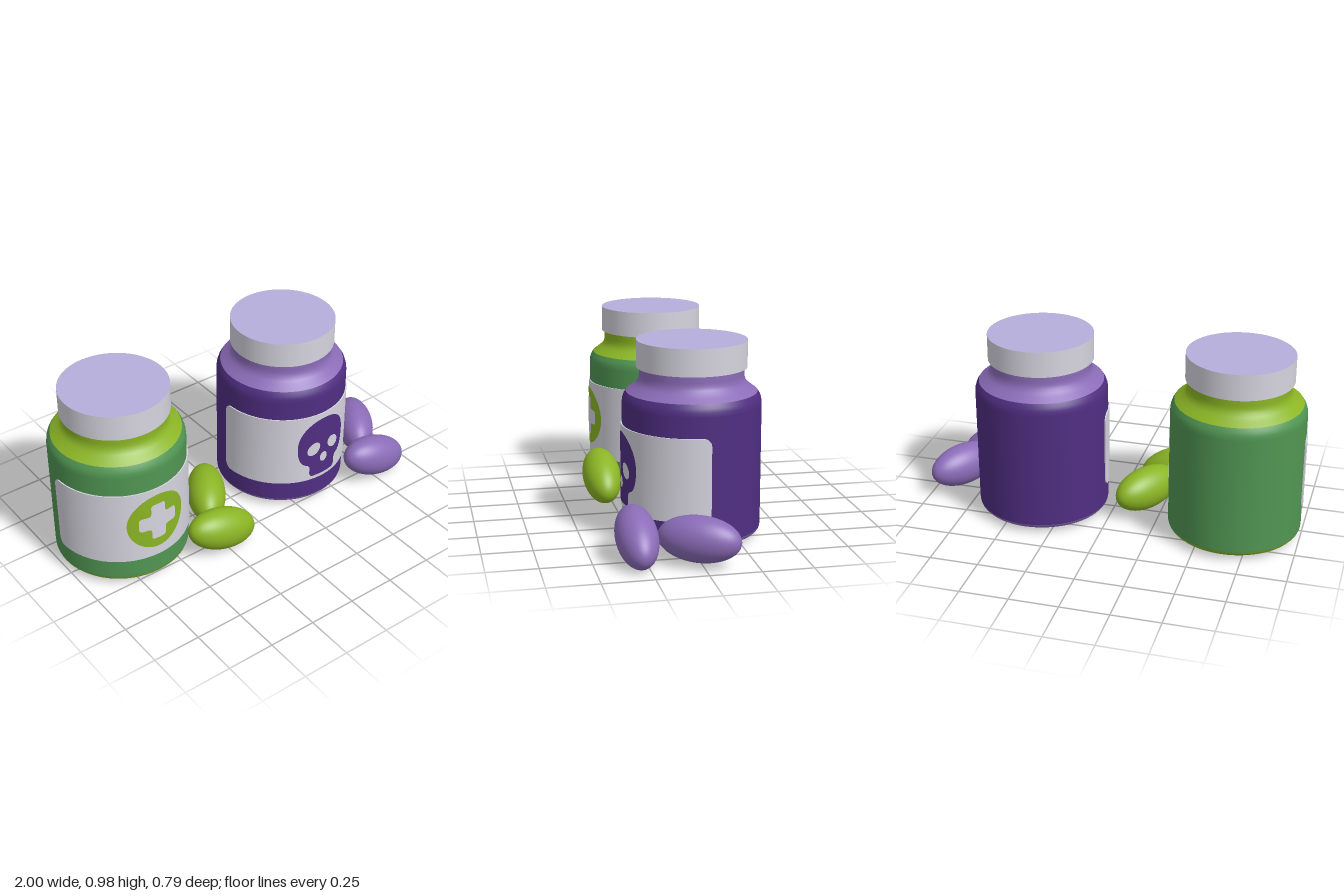
import * as THREE from 'three';

const mat = (name, color, side = THREE.FrontSide) => {
  const m = new THREE.MeshStandardMaterial({ color, side });
  m.name = name;
  return m;
};
const v2 = (pts) => pts.map(([x, y]) => new THREE.Vector2(x, y));

function add(parent, name, geometry, material) {
  const mesh = new THREE.Mesh(geometry, material);
  mesh.name = name;
  parent.add(mesh);
  return mesh;
}

// Fills a closed outline with concentric rings and bends it onto a cylinder
function curvedPlate(shape, cx, cy, radius, count = 96, rings = 8) {
  const outline = shape.getSpacedPoints(count).slice(0, count);
  if (THREE.ShapeUtils.isClockWise(outline)) outline.reverse();
  const n = outline.length, pos = [], nor = [], idx = [];
  for (let r = 0; r <= rings; r++) {
    for (const p of outline) {
      const x = cx + p.x * r / rings, y = cy + p.y * r / rings;
      const z = Math.sqrt(radius * radius - x * x);
      pos.push(x, y, z);
      nor.push(x / radius, 0, z / radius);
    }
  }
  for (let r = 0; r < rings; r++) {
    for (let i = 0; i < n; i++) {
      const j = (i + 1) % n, a = r * n + i, b = r * n + j, c = a + n, d = b + n;
      if (r > 0) idx.push(a, d, b);
      idx.push(a, c, d);
    }
  }
  const g = new THREE.BufferGeometry();
  g.setAttribute('position', new THREE.Float32BufferAttribute(pos, 3));
  g.setAttribute('normal', new THREE.Float32BufferAttribute(nor, 3));
  g.setIndex(idx);
  return g;
}

// Label wrapped around the front half, with rounded corners
function labelGeometry() {
  const half = 1.63, R = 0.348, corner = 0.04, halfHeight = 0.205;
  const g = new THREE.BoxGeometry(2, 2, 2, 64, 1, 1);
  const p = g.attributes.position;
  for (let i = 0; i < p.count; i++) {
    const a = half * Math.sin(p.getX(i) * Math.PI / 2);
    const inset = Math.max(0, corner - (half - Math.abs(a)) * R);
    const h = halfHeight - corner + Math.sqrt(Math.max(0, corner * corner - inset * inset));
    const r = p.getZ(i) > 0 ? R : 0.339;
    p.setXYZ(i, r * Math.sin(a), 0.37 + h * p.getY(i), r * Math.cos(a));
  }
  g.computeVertexNormals();
  return g;
}

function ellipse(rx, ry, tilt = 0) {
  const s = new THREE.Shape();
  s.absellipse(0, 0, rx, ry, 0, Math.PI * 2, false, tilt);
  return s;
}

// Cross with softened corners
function crossShape(l, w, r) {
  const c = v2([[w, -l], [w, -w], [l, -w], [l, w], [w, w], [w, l],
    [-w, l], [-w, w], [-l, w], [-l, -w], [-w, -w], [-w, -l]]);
  const s = new THREE.Shape();
  c.forEach((p, i) => {
    const prev = c[(i + 11) % 12], next = c[(i + 1) % 12];
    const a = p.clone().add(prev.clone().sub(p).setLength(r));
    const b = p.clone().add(next.clone().sub(p).setLength(r));
    if (i === 0) s.moveTo(a.x, a.y); else s.lineTo(a.x, a.y);
    s.quadraticCurveTo(p.x, p.y, b.x, b.y);
  });
  s.closePath();
  return s;
}

function skullShape() {
  const s = new THREE.Shape();
  s.moveTo(-0.06, -0.183);
  s.lineTo(0.06, -0.183);
  s.quadraticCurveTo(0.085, -0.183, 0.085, -0.155);
  s.lineTo(0.085, -0.125);
  s.quadraticCurveTo(0.088, -0.107, 0.112, -0.1);
  s.bezierCurveTo(0.14, -0.085, 0.152, -0.04, 0.152, 0.015);
  s.bezierCurveTo(0.152, 0.11, 0.085, 0.175, 0, 0.175);
  s.bezierCurveTo(-0.085, 0.175, -0.152, 0.11, -0.152, 0.015);
  s.bezierCurveTo(-0.152, -0.04, -0.14, -0.085, -0.112, -0.1);
  s.quadraticCurveTo(-0.088, -0.107, -0.085, -0.125);
  s.lineTo(-0.085, -0.155);
  s.quadraticCurveTo(-0.085, -0.183, -0.06, -0.183);
  return s;
}

export function createModel() {
  const white = mat('white', 0xd6d5df);
  const lilac = mat('lilac', 0xb4aedb);
  const lime = mat('lime', 0x8bb525);
  const green = mat('green', 0x519653);
  const lavender = mat('lavender', 0x8b6cb8);
  const purple = mat('purple', 0x502e82);

  // Lathe profiles, from the bottom up
  const baseProfile = v2([[0, 0.03], [0.3, 0.03], [0.312, 0.031], [0.328, 0.037], [0.337, 0.047], [0.341, 0.058]]);
  const bodyProfile = v2([[0.341, 0.058], [0.342, 0.07], [0.342, 0.675], [0.34, 0.697], [0.334, 0.716], [0.322, 0.735]]);
  const neckProfile = v2([[0.322, 0.735], [0.296, 0.754], [0.276, 0.77], [0.264, 0.785], [0.258, 0.803], [0.257, 0.82], [0.257, 0.86]]);

  function bottle(name, x, light, dark) {
    const g = new THREE.Group();
    g.name = name;
    g.position.set(x, 0, -0.055);
    add(g, 'base', new THREE.LatheGeometry(baseProfile, 64), light);
    add(g, 'body', new THREE.LatheGeometry(bodyProfile, 64), dark);
    add(g, 'shoulderAndNeck', new THREE.LatheGeometry(neckProfile, 64), light);
    const cap = new THREE.CylinderGeometry(0.271, 0.271, 0.134, 64);
    add(g, 'cap', cap, [white, lilac, white]).position.y = 0.92;
    add(g, 'label', labelGeometry(), white);
    return g;
  }

  // Two pills lying beside each bottle
  function pills(name, x, material) {
    const g = new THREE.Group();
    g.name = name;
    g.position.x = x;
    const geo = new THREE.SphereGeometry(1, 40, 28);
    const front = add(g, 'frontPill', geo, material);
    front.position.set(0.382, 0.132, 0.292);
    front.rotation.z = -0.34;
    const side = add(g, 'sidePill', geo, material);
    side.position.set(0.484, 0.136, 0.016);
    side.rotation.y = 1.02;
    for (const p of [front, side]) p.scale.set(0.205, 0.112, 0.101);
    return g;
  }

  const model = new THREE.Group();
  model.name = 'pillBottles';
  const inner = 0.3505, outer = 0.353;

  // Green bottle with a cross in a disc
  const medicine = bottle('medicineBottle', -0.655, lime, green);
  add(medicine, 'emblemDisc', curvedPlate(ellipse(0.16, 0.16), 0, 0.38, inner), lime);
  add(medicine, 'emblemCross', curvedPlate(crossShape(0.105, 0.04, 0.018), 0, 0.38, outer, 144), white);

  // Purple bottle with a skull
  const poison = bottle('poisonBottle', 0.375, lavender, purple);
  const sx = 0.014;
  add(poison, 'skull', curvedPlate(skullShape(), sx, 0.37, inner, 128), purple);
  for (const s of [-1, 1]) {
    const eye = ellipse(0.043, 0.034, -s * 0.8);
    add(poison, s < 0 ? 'rightEye' : 'leftEye', curvedPlate(eye, sx + s * 0.064, 0.364, outer, 40, 3), white);
  }
  add(poison, 'nose', curvedPlate(ellipse(0.024, 0.03), sx, 0.294, outer, 32, 3), white);

  model.add(medicine, poison, pills('limePills', -0.655, lime), pills('lavenderPills', 0.375, lavender));
  return model;
}
